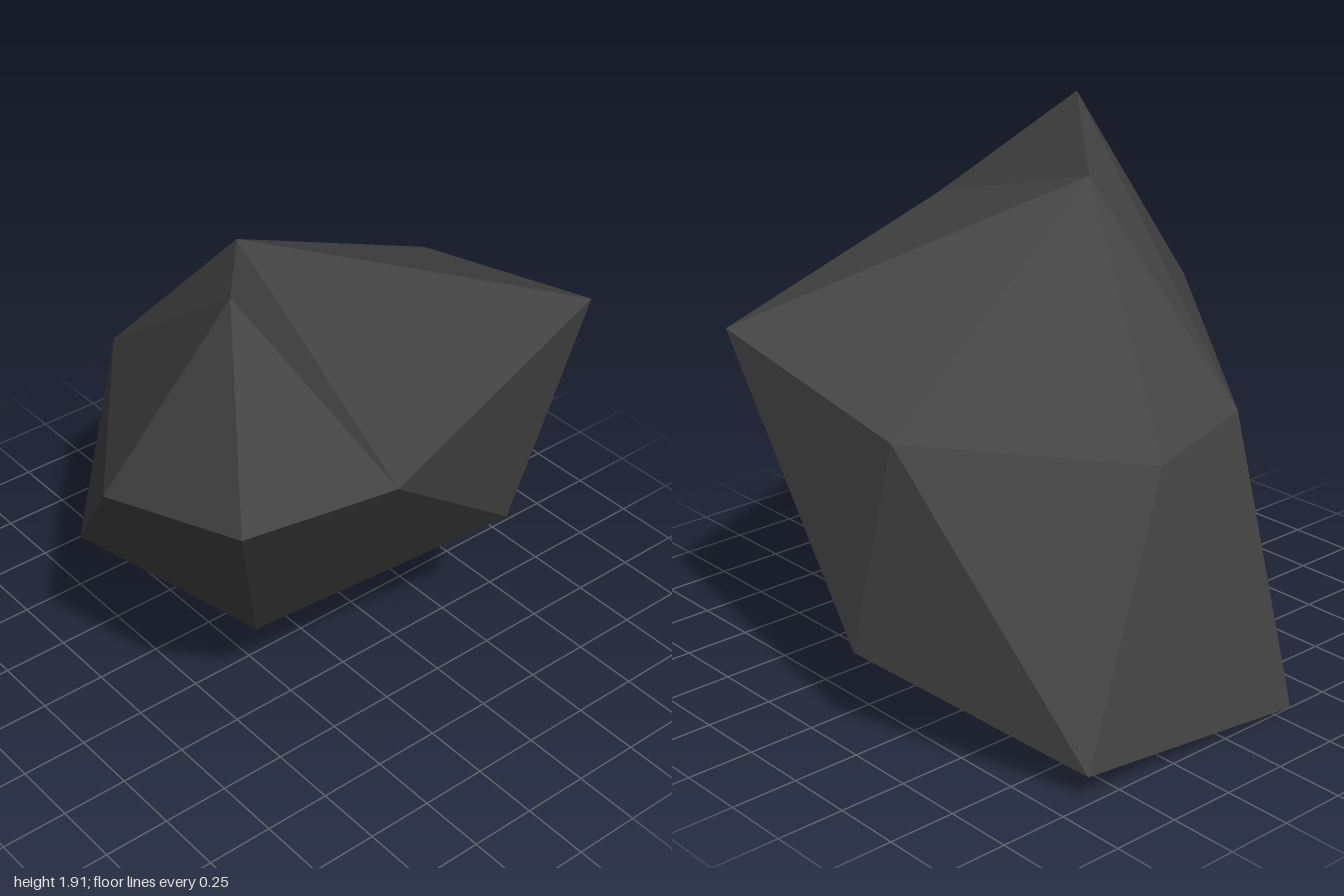
import * as THREE from 'three';

// Corners of the boulder, from the peak down to the base
const CORNERS = [
  [0.41, 1.91, 0.61],   // 0 peak
  [-0.08, 1.75, 0.21],  // 1 shoulder
  [1.0, 1.44, 0.43],    // 2 left tip
  [0.8, 1.34, 0.88],    // 3 left front
  [0.17, 1.18, 0.96],   // 4 front nose
  [-0.75, 1.05, 0.28],  // 5 right front
  [-0.86, 1.01, -0.19], // 6 right side
  [-1.0, 0.0, 0.33],    // 7 base, right front
  [0.46, 1.32, -0.96],  // 8 back left
  [0.6, 0.67, -0.46],   // 9 left underside
  [0.28, 0.41, 0.43],   // 10 front underside
  [-0.18, 0.01, -0.2],  // 11 base, middle
  [-1.0, 0.1, -0.64],   // 12 base, right back
  [-0.4, 1.15, -0.94],  // 13 back, upper
  [-0.2, 0.35, -0.96],  // 14 back, lower
].map((p) => new THREE.Vector3(...p));

// Facets as corner triples; the winding is set outward below
const FACETS = [
  // peak
  [0, 1, 2], [0, 2, 3], [0, 3, 4], [0, 4, 5], [0, 5, 1],
  // upper slopes
  [1, 2, 8], [1, 8, 13], [1, 13, 6], [1, 6, 5],
  // right side
  [5, 6, 7], [5, 7, 4], [6, 13, 12], [6, 12, 7],
  // left side and front
  [2, 9, 8], [2, 10, 9], [2, 3, 10], [3, 4, 10], [4, 7, 10],
  // underside
  [10, 7, 11], [10, 11, 9], [11, 7, 12], [11, 12, 14], [11, 14, 9],
  // back
  [9, 14, 8], [8, 14, 13], [13, 14, 12],
];

function facetedGeometry(corners, facets) {
  const centre = corners.reduce((sum, p) => sum.add(p), new THREE.Vector3()).divideScalar(corners.length);
  const points = [];
  const normal = new THREE.Vector3();
  for (const facet of facets) {
    const [a, b, c] = facet.map((i) => corners[i]);
    new THREE.Triangle(a, b, c).getNormal(normal);
    const outward = normal.dot(a.clone().sub(centre)) > 0;
    points.push(...(outward ? [a, b, c] : [a, c, b]));
  }
  const geometry = new THREE.BufferGeometry().setFromPoints(points);
  geometry.computeVertexNormals(); // unshared corners keep every facet flat
  return geometry;
}

export function createModel() {
  const group = new THREE.Group();
  group.name = 'rock';

  const stone = new THREE.MeshStandardMaterial({ color: 0x444444 });
  stone.name = 'dark stone';

  const boulder = new THREE.Mesh(facetedGeometry(CORNERS, FACETS), stone);
  boulder.name = 'boulder';
  group.add(boulder);

  return group;
}
